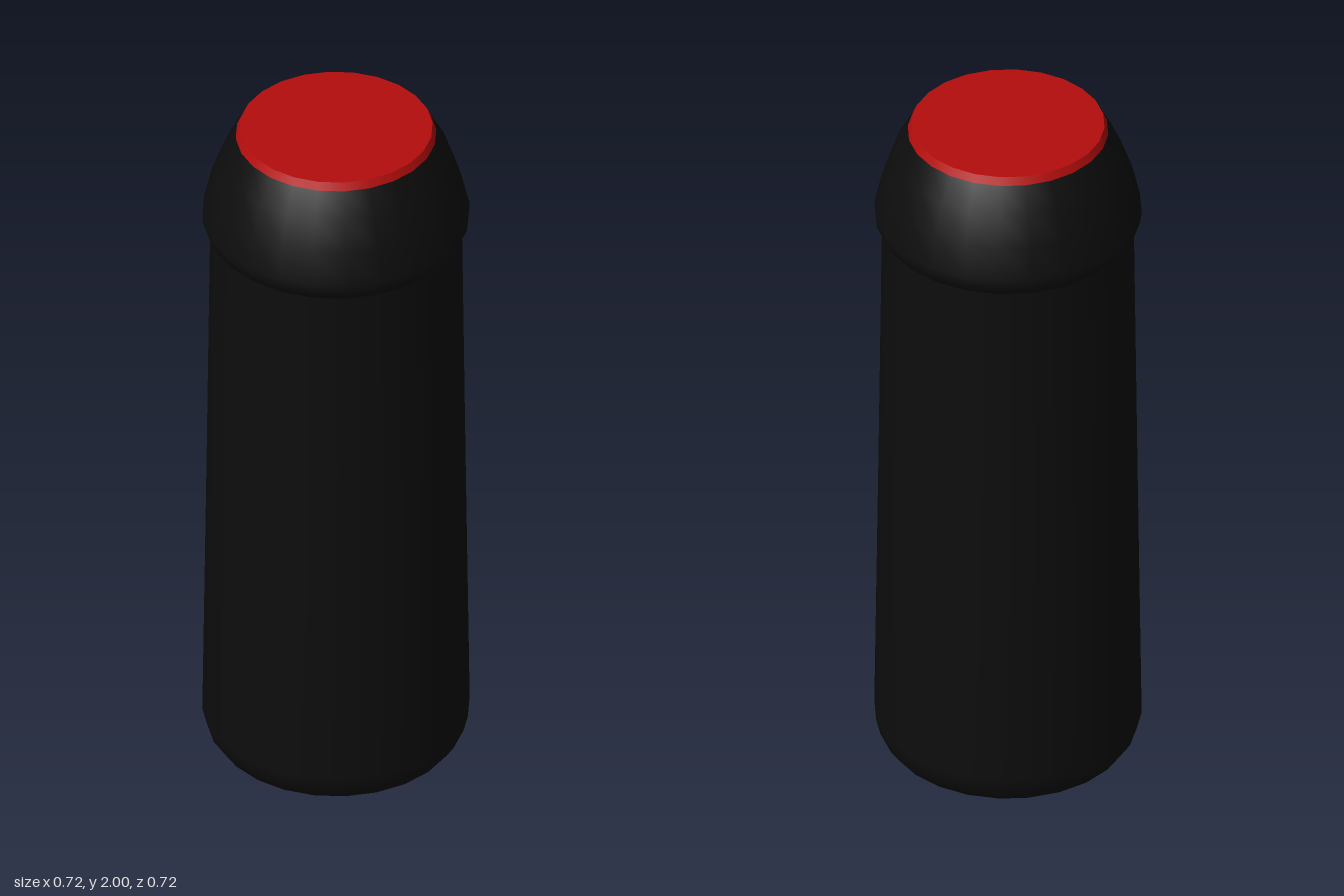
import * as THREE from 'three';

const SIDES = 24;

// Revolve a [radius, height] profile, listed from bottom to top
function turned(name, profile, color) {
  const points = profile.map(([r, y]) => new THREE.Vector2(r, y));
  const mesh = new THREE.Mesh(
    new THREE.LatheGeometry(points, SIDES),
    new THREE.MeshStandardMaterial({ color })
  );
  mesh.name = name;
  return mesh;
}

export function createModel() {
  const group = new THREE.Group();
  group.name = 'cappedCylinder';
  const black = 0x0d0d0d;
  const red = 0xb50d0d;

  // Flat underside
  group.add(turned('base', [[0, 0], [0.25, 0]], black));

  // Slightly tapering body with a rounded foot
  group.add(turned('body', [
    [0.25, 0], [0.29, 0.01], [0.325, 0.034], [0.348, 0.067],
    [0.36, 0.115], [0.349, 0.9], [0.339, 1.69],
  ], black));

  // Domed collar that overhangs the body
  group.add(turned('collar', [
    [0.335, 1.67], [0.348, 1.685], [0.357, 1.705], [0.36, 1.73],
    [0.339, 1.82], [0.307, 1.91], [0.27, 1.978],
  ], black));

  // Red rim and flat red top
  group.add(turned('topRim', [[0.27, 1.978], [0.26, 2]], red));
  group.add(turned('topDisc', [[0.26, 2], [0, 2]], red));

  return group;
}
